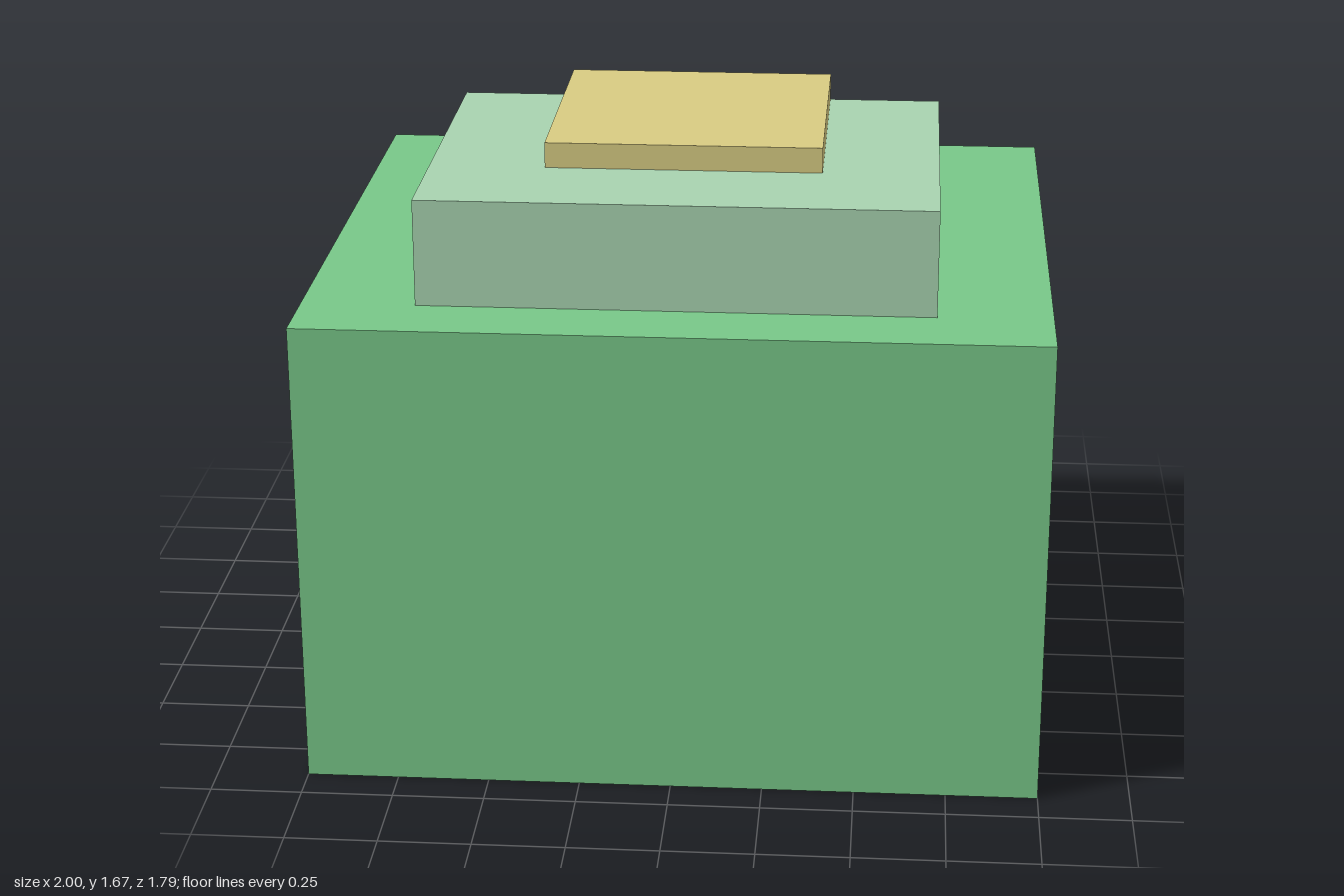
import * as THREE from 'three';

// A named box given by its extents along each axis
function block(name, color, [x0, x1], [y0, y1], [z0, z1]) {
  const mesh = new THREE.Mesh(
    new THREE.BoxGeometry(x1 - x0, y1 - y0, z1 - z0),
    new THREE.MeshStandardMaterial({ color })
  );
  mesh.name = name;
  mesh.position.set((x0 + x1) / 2, (y0 + y1) / 2, (z0 + z1) / 2);
  return mesh;
}

export function createModel() {
  const group = new THREE.Group();
  group.name = 'steppedBlocks';
  group.add(
    // Large body
    block('base', 0x78c788, [-1, 1], [0, 1.307], [-0.895, 0.895]),
    // Middle step, set towards the front
    block('middleStep', 0xa8d3b0, [-0.693, 0.693], [1.307, 1.6], [-0.358, 0.693]),
    // Top slab, sunk into the step and overhanging its back
    block('topSlab', 0xd8cc82, [-0.377, 0.377], [1.495, 1.67], [-0.377, 0.377])
  );
  return group;
}
